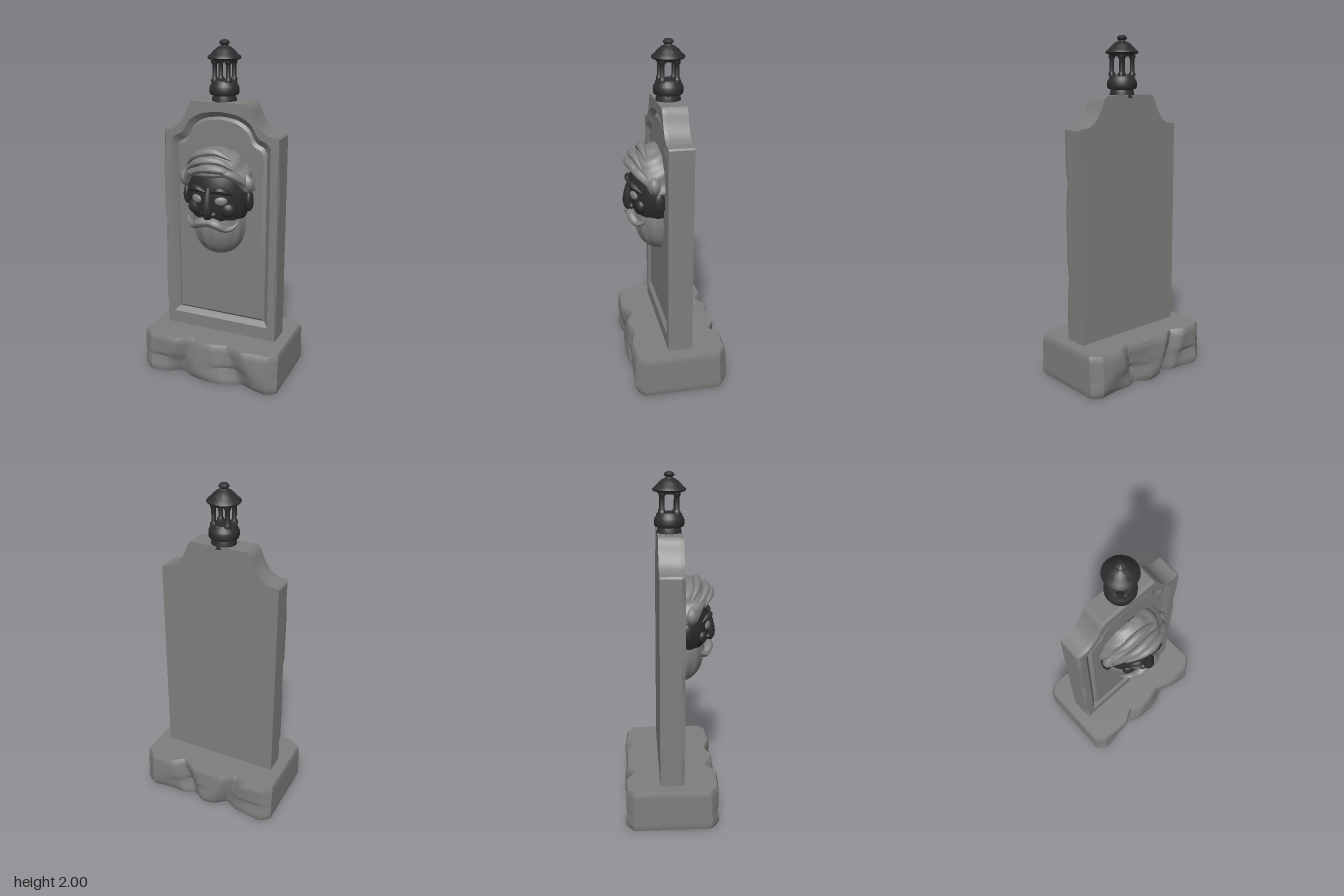
import * as THREE from 'three';
import { toCreasedNormals, mergeVertices } from 'three/addons/utils/BufferGeometryUtils.js';

const V3 = (a) => new THREE.Vector3(...a);
const V2 = (a) => new THREE.Vector2(...a);

// Moves every vertex by a rule, then rebuilds the normals
function reshape(geo, rule) {
  const p = geo.attributes.position, uv = geo.attributes.uv, v = new THREE.Vector3();
  for (let i = 0; i < p.count; i++) {
    v.fromBufferAttribute(p, i);
    rule(v, uv.getX(i), uv.getY(i));
    p.setXYZ(i, v.x, v.y, v.z);
  }
  geo.computeVertexNormals();
  return geo;
}

// Band between two matching closed outlines
function loft(a, za, b, zb) {
  const pos = [], n = a.length;
  for (let i = 0; i < n; i++) {
    const j = (i + 1) % n;
    const A = [a[i].x, a[i].y, za], B = [a[j].x, a[j].y, za];
    const C = [b[j].x, b[j].y, zb], D = [b[i].x, b[i].y, zb];
    pos.push(...A, ...B, ...C, ...A, ...C, ...D);
  }
  const g = new THREE.BufferGeometry();
  g.setAttribute('position', new THREE.Float32BufferAttribute(pos, 3));
  return toCreasedNormals(g, 0.6);
}

// Right half of an outline, mirrored into a closed counter-clockwise loop
const mirrored = (half) => [...half, ...half.slice().reverse().filter((p) => p.x > 0.001).map((p) => V2([-p.x, p.y]))];

// Slab outline, with worn sides when wear > 0
function slabOutline(wear) {
  const half = [];
  for (let i = 0; i <= 20; i++) half.push(V2([0.36, 0.24 + i * 0.062]));
  half.push(V2([0.352, 1.49]));
  half.push(...new THREE.SplineCurve([[0.3, 1.495], [0.255, 1.525], [0.217, 1.58], [0.192, 1.64], [0.17, 1.665]].map(V2)).getPoints(12));
  return mirrored(half).map((p) => {
    if (Math.abs(p.x) < 0.35) return V2([p.x, p.y - wear * 0.3]);
    const n = Math.max(0, Math.sin(p.y * 11 + p.x * 3) + 0.5 * Math.sin(p.y * 23)) * (p.x < 0 ? 1.1 : 0.7);
    return V2([p.x - Math.sign(p.x) * wear * (0.25 + n), p.y]);
  });
}

// Arched panel outline at a given inset
function panelOutline(d) {
  const arch = new THREE.SplineCurve([[0.31, 1.42], [0.29, 1.45], [0.235, 1.48], [0.19, 1.55], [0.11, 1.595], [0, 1.61]].map(V2));
  const half = [V2([0.31, 0.33 + 2 * d]), ...arch.getPoints(24)];
  return mirrored(half.map((p) => V2([p.x * (1 - d / 0.31), p.y - d])));
}

// Tube whose thickness follows a rule of t
function strand(points, radius, taper) {
  const curve = new THREE.CatmullRomCurve3(points.map(V3));
  return reshape(new THREE.TubeGeometry(curve, 24, radius, 10), (v, t) => {
    const c = curve.getPointAt(Math.min(1, Math.max(0, t)));
    v.sub(c).multiplyScalar(taper(t)).add(c);
  });
}
const pointed = (t) => Math.max(0.04, Math.sin(Math.PI * (0.06 + 0.92 * t)));

export function createModel() {
  const root = new THREE.Group();
  const stone = new THREE.MeshStandardMaterial({ color: 0x7e7e7c });
  stone.name = 'grey stone';
  const dark = new THREE.MeshStandardMaterial({ color: 0x2d2d2f });
  dark.name = 'dark iron';
  const add = (name, geo, mat, parent = root) => {
    const m = new THREE.Mesh(geo, mat);
    m.name = name;
    parent.add(m);
    return m;
  };
  const ball = (name, mat, parent, pos, size) => {
    const m = add(name, new THREE.SphereGeometry(1, 28, 20), mat, parent);
    m.position.set(...pos);
    m.scale.set(...size);
    return m;
  };

  // Rough-hewn plinth: box with chipped front and back
  const dent = (x, c, w) => Math.max(0, 1 - Math.abs(x - c) / w);
  let block = reshape(new THREE.BoxGeometry(0.87, 0.25, 0.555, 44, 12, 20), (v) => {
    const { x, y, z } = v, front = z > 0;
    const s = Math.abs(z) / 0.2775, e = Math.abs(y) / 0.125;
    const slant = y * (front ? 0.35 : -0.3);
    let cut = front
      ? 0.045 * dent(x, -0.15 + slant, 0.08) + 0.035 * dent(x, 0.16 - slant, 0.1)
      : 0.048 * dent(x, -0.16 + slant, 0.07) + 0.05 * dent(x, 0.13 - slant, 0.07);
    cut += 0.045 * dent(Math.abs(x), 0.435, 0.055);
    cut += 0.007 * (1 + Math.sin(x * 15 + y * 17)) * (y < 0 ? 1.6 : 0.7);
    cut += 0.012 * Math.max(0, (e - 0.8) / 0.2);
    v.z -= Math.sign(z) * cut * Math.pow(s, 3);
    if (Math.abs(x) > 0.434 && e > 0.99) v.x *= 0.985;
    v.y += 0.125;
  });
  block.deleteAttribute('normal');
  block.deleteAttribute('uv');
  block = mergeVertices(block, 1e-4);
  add('plinth', toCreasedNormals(block, 0.5), stone);

  // Upright slab: back, sides, worn front edge and framed front
  const slab = new THREE.Group();
  slab.name = 'slab';
  root.add(slab);
  const full = slabOutline(0), worn = slabOutline(0.011);
  const groove = [0, 0.03, 0.046].map(panelOutline);
  const back = new THREE.ShapeGeometry(new THREE.Shape(full)).translate(0, 0, 0.07).rotateY(Math.PI);
  add('slabBack', back, stone, slab);
  add('slabSides', loft(full, -0.07, full, 0.052), stone, slab);
  add('wornEdge', loft(full, 0.052, worn, 0.072), stone, slab);
  const frame = new THREE.Shape(worn);
  frame.holes.push(new THREE.Path(groove[0]));
  add('frameFace', new THREE.ShapeGeometry(frame).translate(0, 0, 0.072), stone, slab);
  add('frameSlope', loft(groove[0], 0.072, groove[1], 0.044), stone, slab);
  add('panelBevel', loft(groove[1], 0.044, groove[2], 0.06), stone, slab);
  add('panelFace', new THREE.ShapeGeometry(new THREE.Shape(groove[2])).translate(0, 0, 0.06), stone, slab);

  // Carved head in relief, starting from a half ellipsoid
  const head = new THREE.Group();
  head.name = 'carvedHead';
  root.add(head);
  add('face', reshape(new THREE.SphereGeometry(1, 40, 32, 0, Math.PI), (v) => {
    v.set(v.x * 0.19, 1.15 + v.y * 0.25, 0.055 + v.z * 0.177);
  }), dark, head);
  add('nose', strand([[0, 1.21, 0.222], [0, 1.13, 0.236], [0, 1.065, 0.24], [0, 1.04, 0.225]], 0.03, (t) => 0.5 + 0.5 * Math.sin(t * 2.2)), dark, head);
  for (const s of [-1, 1]) {
    ball('nostril', dark, head, [s * 0.03, 1.055, 0.225], [0.022, 0.018, 0.02]);
    ball('cheek', dark, head, [s * 0.095, 1.08, 0.18], [0.05, 0.045, 0.035]);
    ball('ear', dark, head, [s * 0.195, 1.12, 0.09], [0.022, 0.06, 0.035]);
    ball('eye', stone, head, [s * 0.075, 1.137, 0.216], [0.036, 0.025, 0.014]).rotation.y = s * 0.4;
    add('brow', strand([[s * 0.01, 1.185, 0.235], [s * 0.07, 1.2, 0.228], [s * 0.14, 1.17, 0.18]], 0.02, pointed), dark, head);
    add('moustache', strand([[0, 1.01, 0.225], [s * 0.05, 1.0, 0.228], [s * 0.1, 0.972, 0.205], [s * 0.14, 0.985, 0.18], [s * 0.158, 1.012, 0.165]], 0.03, (t) => 0.06 + 0.94 * Math.cos(t * 1.5)), stone, head);
    add('sideburn', strand([[s * 0.185, 1.28, 0.12], [s * 0.2, 1.22, 0.115], [s * 0.19, 1.165, 0.11]], 0.032, pointed), stone, head);
  }

  // Beard: squared half ellipsoid with flowing grooves
  add('beard', reshape(new THREE.SphereGeometry(1, 64, 40, 0, Math.PI), (v) => {
    const a = Math.atan2(v.x, v.z), low = Math.max(0, -v.y);
    const flute = 1 + 0.03 * Math.sin(a * 13 + v.y * 1.5) * (0.3 + low) * (1 - low * low);
    const square = Math.pow(Math.max(0.01, 1 - v.y * v.y), -0.09);
    v.set(v.x * 0.162 * square * flute, 0.975 + v.y * 0.2, 0.055 + v.z * 0.15 * square * flute);
  }), stone, head);

  // Swept hair: ridged cap above the hairline, tucked in at its lower edge
  add('hair', reshape(new THREE.PlaneGeometry(1, 1, 80, 40), (v, u, t) => {
    const phi = (u - 0.5) * 3.3;
    const side = THREE.MathUtils.smoothstep(Math.abs(phi), 0.75, 1.25);
    const low = THREE.MathUtils.lerp(0.45 + 0.05 * phi, 0.02, side);
    const th = low + (Math.PI / 2 - low) * Math.max(0, t - 0.05) / 0.95;
    const ridge = 0.028 * Math.sin(th * 13 - phi * 3.2 + 0.7 * Math.sin(phi * 2)) * Math.cos(th);
    const r = (1 + ridge) * (t < 0.02 ? 0.82 : t < 0.04 ? 0.94 : 1);
    v.set(0.213 * r * Math.cos(th) * Math.sin(phi), 1.175 + 0.24 * r * Math.sin(th), 0.07 + 0.185 * r * Math.cos(th) * Math.cos(phi));
  }), stone, head);
  const locks = [
    [[0.16, 1.27, 0.18], [0.08, 1.315, 0.225], [-0.03, 1.315, 0.235], [-0.14, 1.26, 0.195]],
    [[0.14, 1.31, 0.18], [0.05, 1.355, 0.2], [-0.07, 1.345, 0.205], [-0.18, 1.27, 0.15]],
    [[0.11, 1.36, 0.15], [0, 1.395, 0.155], [-0.11, 1.365, 0.15], [-0.19, 1.3, 0.11]],
    [[0.03, 1.31, 0.225], [0.1, 1.3, 0.215], [0.17, 1.25, 0.16], [0.19, 1.19, 0.12]],
  ];
  for (const lock of locks) add('hairLock', strand(lock, 0.026, pointed), stone, head);

  // Lantern on top
  const lantern = new THREE.Group();
  lantern.name = 'lantern';
  root.add(lantern);
  const turned = (name, profile) => add(name, toCreasedNormals(new THREE.LatheGeometry(profile.map(V2), 40), 0.7), dark, lantern);
  turned('lanternFoot', [[0, 1.65], [0.072, 1.65], [0.07, 1.675], [0.064, 1.695], [0.08, 1.7], [0.085, 1.71], [0.085, 1.738],
    [0.08, 1.75], [0.075, 1.755], [0.072, 1.768], [0.062, 1.778], [0, 1.78]]);
  turned('lanternRoof', [[0, 1.88], [0.062, 1.88], [0.068, 1.892], [0.088, 1.894], [0.095, 1.902], [0.09, 1.911], [0.078, 1.92],
    [0.06, 1.94], [0.04, 1.957], [0.022, 1.965], [0.018, 1.97], [0.028, 1.977], [0.029, 1.986], [0.018, 1.997], [0, 2]]);
  for (let i = 0; i < 4; i++) {
    const a = Math.PI / 4 + i * Math.PI / 2;
    const post = turned('lanternPost', [[0.02, 1.77], [0.02, 1.785], [0.013, 1.795], [0.013, 1.865], [0.019, 1.875], [0.019, 1.89]]);
    post.position.set(0.058 * Math.cos(a), 0, 0.058 * Math.sin(a));
  }
  return root;
}
